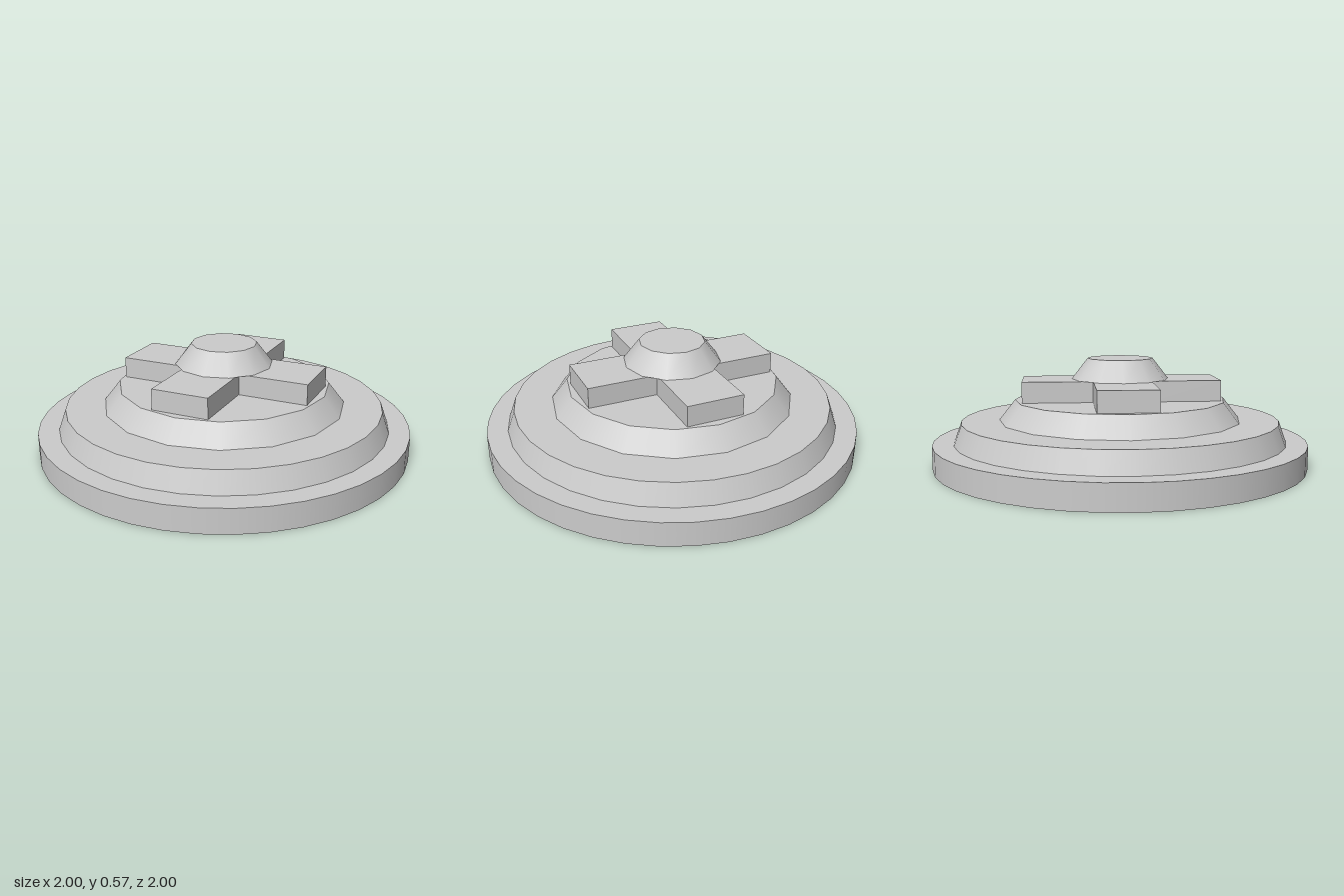
import * as THREE from 'three';

export function createModel() {
  const model = new THREE.Group();
  model.name = 'steppedDisc';
  const grey = new THREE.MeshStandardMaterial({ color: 0xcccccc });
  grey.name = 'plain grey';

  function add(name, geometry, y) {
    const mesh = new THREE.Mesh(geometry, grey);
    mesh.name = name;
    mesh.position.y = y;
    model.add(mesh);
  }

  // Stacked round tiers: name, top radius, bottom radius, bottom y, top y, sides
  const tiers = [
    ['baseDisc', 1, 1, 0, 0.13, 40],
    ['lowerTier', 0.85, 0.89, 0.13, 0.24, 32],
    ['upperTier', 0.565, 0.65, 0.24, 0.348, 16],
    ['centreCap', 0.175, 0.26, 0.458, 0.568, 12],
  ];
  for (const [name, top, bottom, y0, y1, sides] of tiers) {
    add(name, new THREE.CylinderGeometry(top, bottom, y1 - y0, sides), (y0 + y1) / 2);
  }

  // Cross of four flat arms around a square hub, under the cap
  const size = 0.305, reach = 0.522, height = 0.11, y = 0.403;
  add('crossHub', new THREE.BoxGeometry(size, height, size), y);
  const armLength = reach - size / 2;
  for (let i = 0; i < 4; i++) {
    const arm = new THREE.BoxGeometry(armLength, height, size);
    arm.translate(size / 2 + armLength / 2, 0, 0);
    arm.rotateY(i * Math.PI / 2);
    add('crossArm' + (i + 1), arm, y);
  }
  return model;
}
